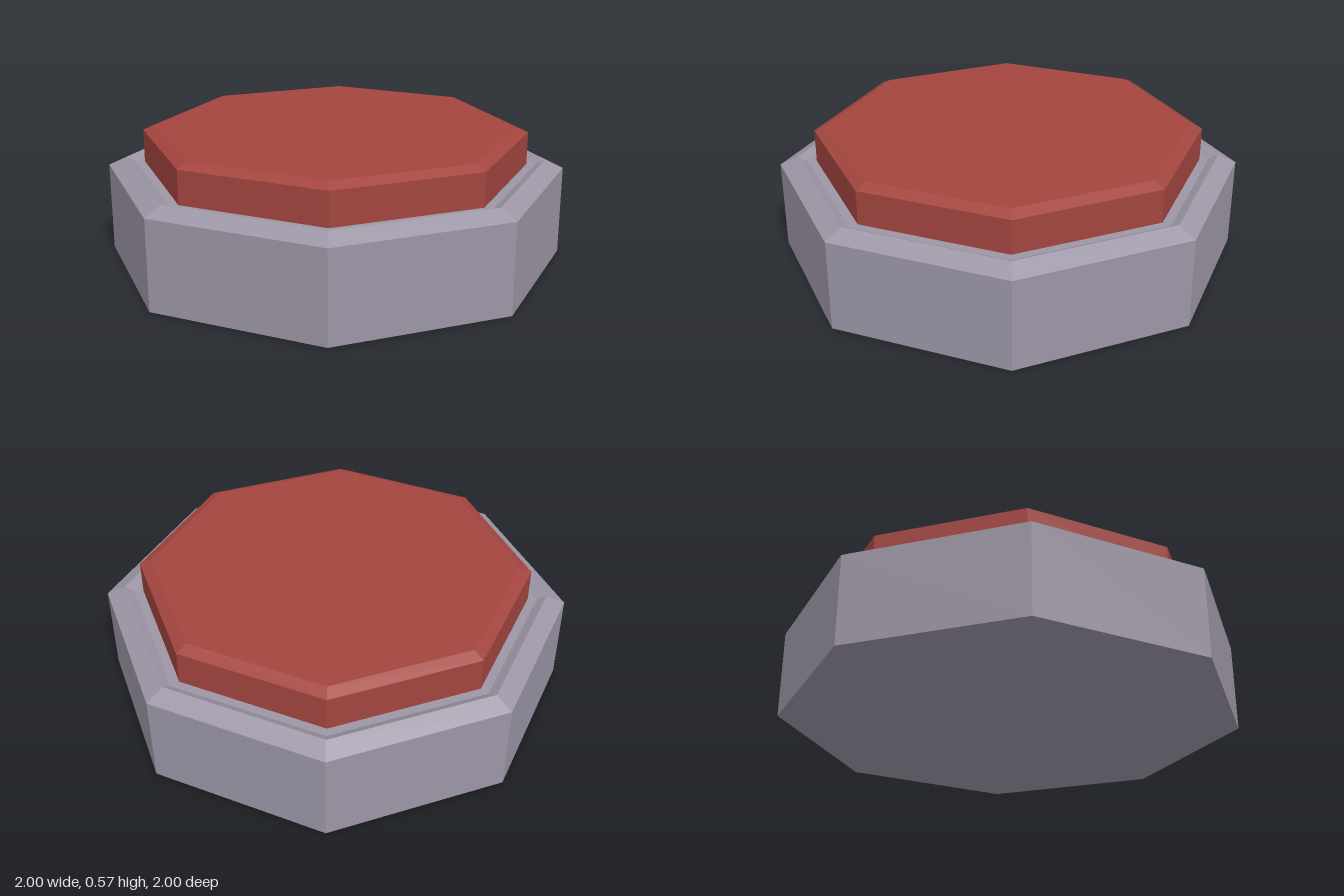
import * as THREE from 'three';

// Eight-sided flat-shaded solid turned from a [radius, height] profile, bottom to top
function octagonal(name, color, profile) {
  const points = profile.map(([r, y]) => new THREE.Vector2(r, y));
  const mesh = new THREE.Mesh(
    new THREE.LatheGeometry(points, 8),
    new THREE.MeshStandardMaterial({ color, flatShading: true })
  );
  mesh.name = name;
  return mesh;
}

export function createModel() {
  const group = new THREE.Group();
  group.name = 'pushButton';

  // Housing: straight wall, bevelled rim, then a shallow recess around the cap
  group.add(octagonal('housing', 0x9d96a6, [
    [0, 0], [1, 0], [1, 0.388], [0.92, 0.425], [0.88, 0.405], [0, 0.405],
  ]));

  // Red cap with a small bevel, seated in the recess
  group.add(octagonal('buttonCap', 0xa3453f, [
    [0.84, 0.4], [0.84, 0.549], [0.79, 0.572], [0, 0.572],
  ]));

  return group;
}
